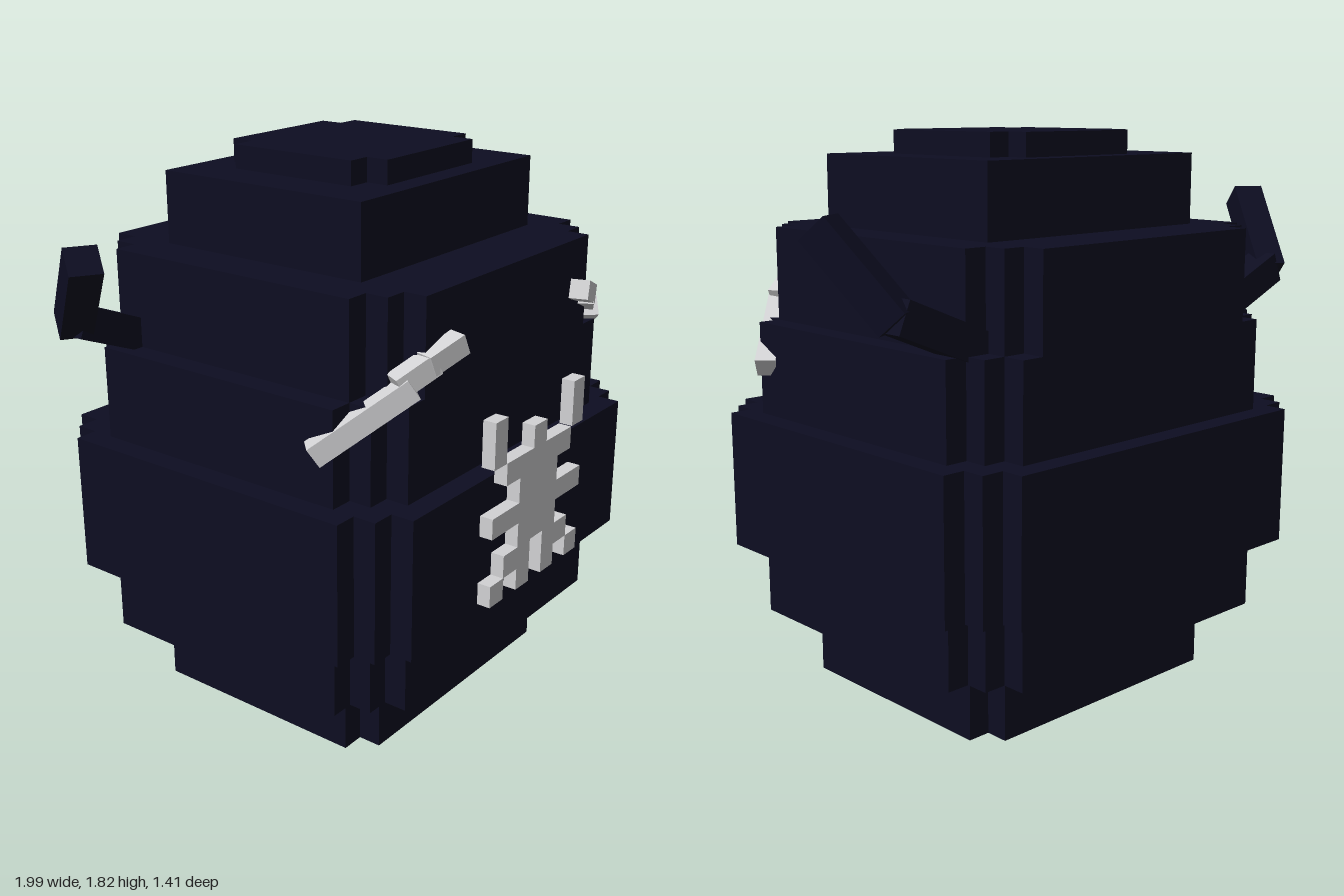
import * as THREE from 'three';

const dark = new THREE.MeshStandardMaterial({ color: 0x0d0d21 });
dark.name = 'midnightBlue';
const light = new THREE.MeshStandardMaterial({ color: 0xd2d2d4 });
light.name = 'paleGrey';

const STEP = 0.0755; // edge of one voxel

// Slab with stair-stepped vertical corners: half width, half depth, notch count
function steppedSlab(name, y0, y1, hw, hd, notches) {
  const quarter = [];
  for (let i = 0; i <= notches; i++) {
    const x = hw - i * STEP;
    quarter.push([x, hd - (notches - i) * STEP]);
    if (i < notches) quarter.push([x - STEP, hd - (notches - i) * STEP]);
  }
  const flip = (sx, sy, reverse) => {
    const q = quarter.map(([x, y]) => new THREE.Vector2(x * sx, y * sy));
    return reverse ? q.reverse() : q;
  };
  const outline = [...flip(1, 1, false), ...flip(-1, 1, true), ...flip(-1, -1, false), ...flip(1, -1, true)];
  const geo = new THREE.ExtrudeGeometry(new THREE.Shape(outline), { depth: y1 - y0, bevelEnabled: false });
  geo.rotateX(-Math.PI / 2);
  const mesh = new THREE.Mesh(geo, dark);
  mesh.name = name;
  mesh.position.set(0, y0, -0.022);
  return mesh;
}

// Square bar running between two points
function bar(name, a, b, thickness, material) {
  const from = new THREE.Vector3(...a), to = new THREE.Vector3(...b);
  const mesh = new THREE.Mesh(new THREE.BoxGeometry(thickness, thickness, from.distanceTo(to)), material);
  mesh.name = name;
  mesh.position.copy(from).add(to).multiplyScalar(0.5);
  mesh.lookAt(to);
  return mesh;
}

export function createModel() {
  const model = new THREE.Group();
  model.name = 'blockCreature';

  // Body, stacked from the base up
  const body = new THREE.Group();
  body.name = 'body';
  body.add(
    steppedSlab('base', 0, 0.23, 0.528, 0.453, 1),
    steppedSlab('lowerBelly', 0.23, 0.46, 0.68, 0.607, 2),
    steppedSlab('belly', 0.46, 0.91, 0.755, 0.68, 2),
    steppedSlab('chest', 0.91, 1.21, 0.68, 0.607, 2),
    steppedSlab('shoulders', 1.21, 1.51, 0.605, 0.607, 2),
    steppedSlab('head', 1.51, 1.74, 0.452, 0.38, 0),
    steppedSlab('crown', 1.74, 1.815, 0.3, 0.302, 1)
  );
  model.add(body);

  // Bent arms and slanted brows, mirrored
  for (const [side, s] of [['left', 1], ['right', -1]]) {
    const arm = new THREE.Group();
    arm.name = side + 'Arm';
    arm.add(
      bar('upperArm', [s * 0.5, 1.207, -0.438], [s * 0.83, 1.344, -0.438], 0.102, dark),
      bar('forearm', [s * 0.82, 1.325, -0.45], [s * 0.933, 1.575, -0.255], 0.1, dark)
    );
    const brow = new THREE.Group();
    brow.name = side + 'Brow';
    brow.add(
      bar('outerBrow', [s * 0.7, 1.07, 0.375], [s * 0.5, 1.26, 0.575], 0.066, light),
      bar('middleBrow', [s * 0.53, 1.26, 0.54], [s * 0.43, 1.32, 0.595], 0.066, light),
      bar('innerBrow', [s * 0.455, 1.315, 0.59], [s * 0.34, 1.36, 0.625], 0.062, light)
    );
    model.add(arm, brow);
  }

  // Chest emblem: boxes as [x0, x1, y0, y1]; off-centre ones are mirrored
  const emblem = new THREE.Group();
  emblem.name = 'chestEmblem';
  const addBlock = (name, x0, x1, y0, y1) => {
    const block = new THREE.Mesh(new THREE.BoxGeometry(x1 - x0, y1 - y0, 0.045), light);
    block.name = name;
    block.position.set((x0 + x1) / 2, (y0 + y1) / 2, 0.6825);
    emblem.add(block);
  };
  addBlock('emblemTip', -0.037, 0.037, 0.957, 1.03);
  addBlock('emblemTopBar', -0.19, 0.19, 0.883, 0.957);
  addBlock('emblemCore', -0.112, 0.112, 0.65, 0.883);
  const pairs = [
    ['emblemHorn', 0.195, 0.262, 0.957, 1.107],
    ['emblemArm', 0.112, 0.262, 0.732, 0.8],
    ['emblemHip', 0.037, 0.19, 0.575, 0.65],
    ['emblemLeg', 0.037, 0.112, 0.503, 0.575],
    ['emblemFoot', 0.188, 0.262, 0.503, 0.575]
  ];
  for (const [name, x0, x1, y0, y1] of pairs) {
    addBlock(name, x0, x1, y0, y1);
    addBlock(name, -x1, -x0, y0, y1);
  }
  model.add(emblem);
  return model;
}
